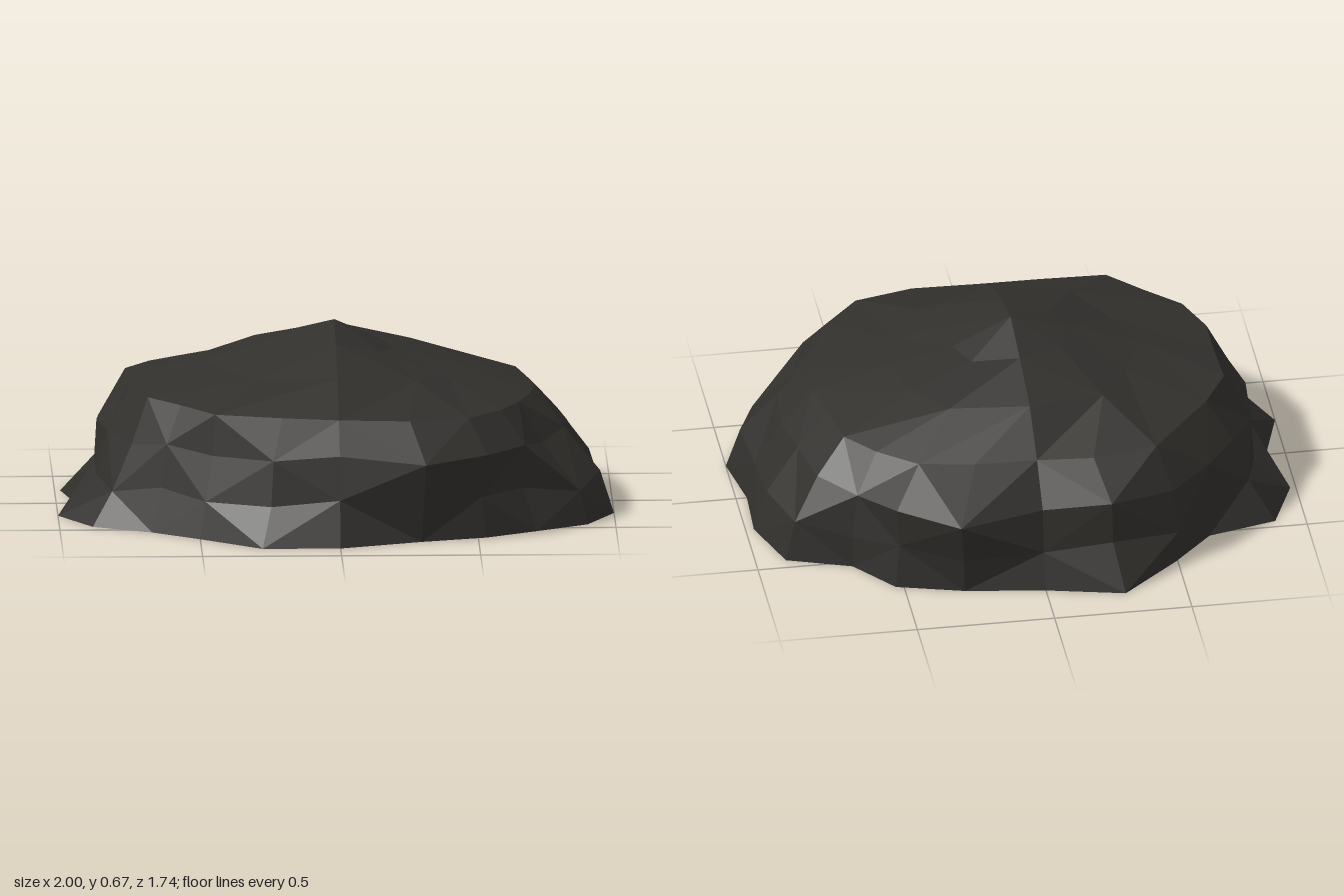
import * as THREE from 'three';

// Ground outline, one [x, z] corner per bearing, from +x turning towards +z
const OUTLINE = [
  [0.96, 0], [1, 0.23], [0.9, 0.44], [0.7, 0.55], [0.54, 0.69], [0.31, 0.79],
  [0, 0.865], [-0.28, 0.865], [-0.5, 0.68], [-0.67, 0.55], [-0.88, 0.44], [-1, 0.23],
  [-0.93, 0], [-0.98, -0.24], [-0.89, -0.46], [-0.66, -0.54], [-0.51, -0.7], [-0.28, -0.87],
  [0, -0.83], [0.31, -0.82], [0.54, -0.71], [0.66, -0.53], [0.89, -0.45], [0.97, -0.22],
];

// Scale of the outline at each lower level: some bearings are undercut, others slope in
const FOOT = [1, 1, 1, 1.02, 0.98, 0.95, 1, 1, 1, 1, 1, 1, 1, 1, 1, 0.97, 0.97, 1, 0.97, 0.93, 0.98, 1, 1, 1];
const WAIST = [0.97, 0.95, 0.97, 0.95, 0.95, 0.97, 0.91, 0.88, 0.96, 0.95, 0.92, 0.86,
  0.93, 0.87, 0.9, 0.98, 0.98, 0.89, 0.91, 0.95, 0.95, 1, 0.96, 0.95];
const BULGE = [0.87, 0.82, 0.82, 0.96, 0.99, 1, 0.87, 0.85, 0.91, 0.92, 0.84, 0.82,
  0.92, 0.86, 0.84, 0.97, 0.95, 0.88, 0.88, 1, 0.97, 0.97, 0.86, 0.83];
// Radius of the shoulder where the sides turn into the cap
const SHOULDER = [0.72, 0.72, 0.73, 0.75, 0.76, 0.7, 0.64, 0.66, 0.75, 0.73, 0.76, 0.76,
  0.74, 0.77, 0.74, 0.72, 0.74, 0.66, 0.6, 0.63, 0.7, 0.72, 0.74, 0.71];

const N = OUTLINE.length;

function buildRings() {
  const scaled = (factors, height, wobble) => OUTLINE.map(([x, z], i) =>
    new THREE.Vector3(x * factors[i], height + wobble * Math.sin(i * 2.3), z * factors[i]));
  // Rings of the cap repeat each corner "step" times, which gives fewer, larger facets
  const polar = (step, radius, height) => OUTLINE.map((_, i) => {
    const k = Math.floor(i / step) * step;
    const [x, z] = OUTLINE[k];
    const a = Math.atan2(z, x), r = radius(k);
    return new THREE.Vector3(r * Math.cos(a), height(Math.cos(a), Math.sin(a) ** 2, k), r * Math.sin(a));
  });
  return [
    scaled(FOOT, 0, 0),
    scaled(WAIST, 0.14, 0.02),
    scaled(BULGE, 0.3, 0.015),
    polar(1, (k) => SHOULDER[k], (c, s2) => 0.445 - 0.015 * c - 0.02 * s2),
    polar(2, (k) => 0.45 + 0.02 * Math.sin(k * 1.7),
      (c, s2, k) => 0.515 - 0.01 * c + 0.03 * s2 * s2 + 0.008 * Math.sin(k * 2.9)),
    polar(3, () => 0.21, (c, s2) => 0.585 - 0.02 * c + 0.035 * s2 * s2),
  ];
}

function buildBoulder() {
  const rings = buildRings();
  const apex = new THREE.Vector3(0, 0.67, 0);
  const centre = new THREE.Vector3(0, 0, 0);
  const points = [];
  const facet = (a, b, c) => {
    if (!a.equals(b) && !b.equals(c) && !c.equals(a)) points.push(a, b, c);
  };
  for (let i = 0; i < N; i++) {
    const j = (i + 1) % N;
    // Side and cap facets, with alternating diagonals
    for (let k = 0; k < rings.length - 1; k++) {
      const a = rings[k][i], b = rings[k][j], c = rings[k + 1][j], d = rings[k + 1][i];
      if ((i + k) % 2) {
        facet(a, d, c);
        facet(a, c, b);
      } else {
        facet(a, d, b);
        facet(b, d, c);
      }
    }
    // Peak and flat underside
    const top = rings[rings.length - 1];
    facet(top[i], apex, top[j]);
    facet(centre, rings[0][i], rings[0][j]);
  }
  const geometry = new THREE.BufferGeometry().setFromPoints(points);
  geometry.computeVertexNormals();
  return geometry;
}

export function createModel() {
  const group = new THREE.Group();
  group.name = 'rock';
  const stone = new THREE.MeshStandardMaterial({ color: 0x32302d, flatShading: true });
  const boulder = new THREE.Mesh(buildBoulder(), stone);
  boulder.name = 'boulder';
  group.add(boulder);
  return group;
}
